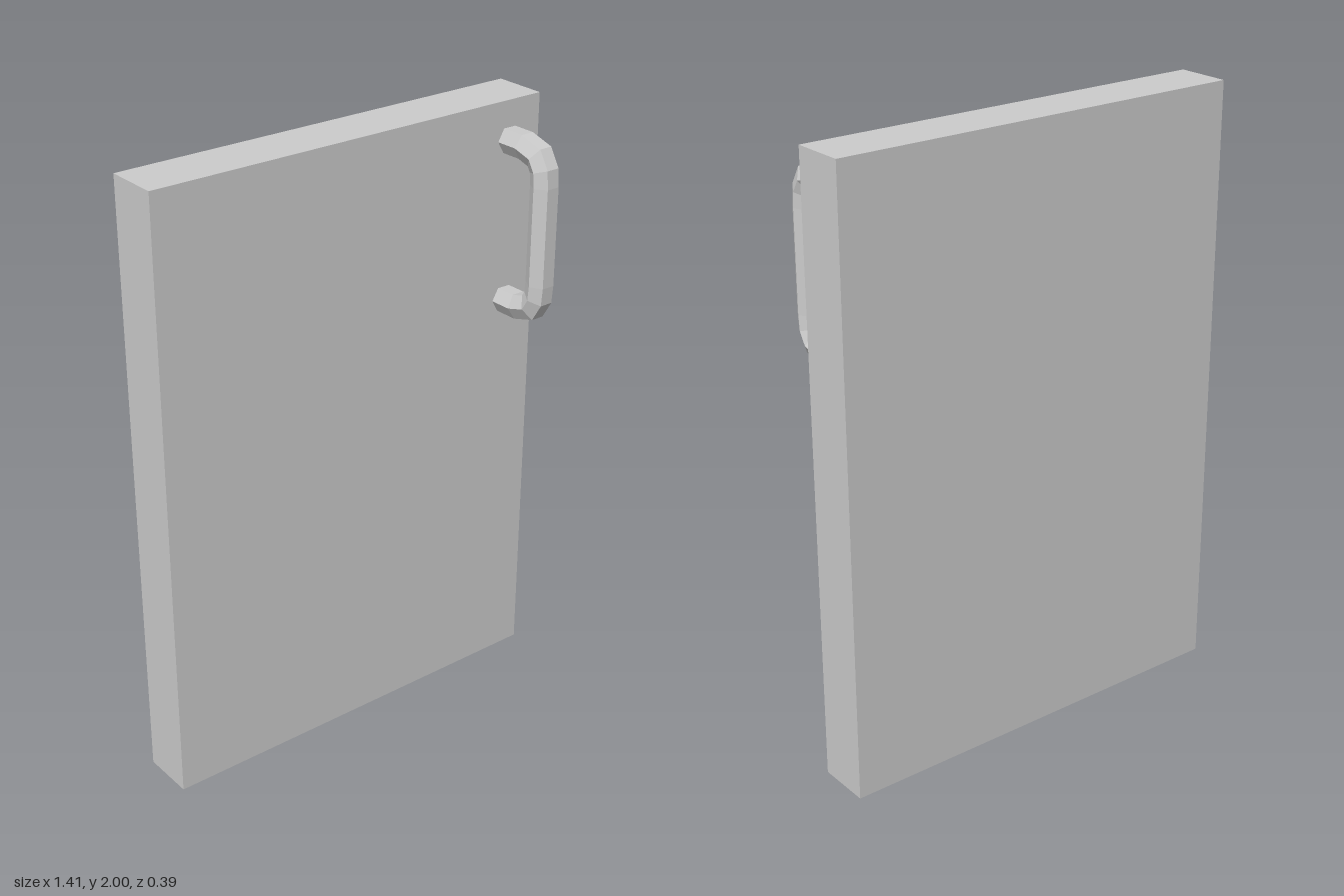
import * as THREE from 'three';

const SIDES = 6;

// Sweeps a hexagonal section along a path of [z, y] points, with mitred joints
function hexBar(path, radius) {
  const pts = path.map(([z, y]) => new THREE.Vector3(0, y, z));
  const xAxis = new THREE.Vector3(1, 0, 0);
  const position = [], index = [];
  pts.forEach((p, i) => {
    const before = p.clone().sub(pts[Math.max(i - 1, 0)]).normalize();
    const after = pts[Math.min(i + 1, pts.length - 1)].clone().sub(p).normalize();
    const tangent = before.clone().add(after).normalize();
    const normal = tangent.clone().cross(xAxis);
    const mitre = 1 / tangent.dot(after.lengthSq() > 0 ? after : before);
    for (let k = 0; k < SIDES; k++) {
      const a = (k / SIDES) * Math.PI * 2;
      const v = p.clone()
        .addScaledVector(xAxis, radius * Math.cos(a))
        .addScaledVector(normal, radius * mitre * Math.sin(a));
      position.push(v.x, v.y, v.z);
      if (i < pts.length - 1) {
        const a0 = i * SIDES + k, b0 = i * SIDES + (k + 1) % SIDES;
        index.push(a0, b0, b0 + SIDES, a0, b0 + SIDES, a0 + SIDES);
      }
    }
  });
  const geometry = new THREE.BufferGeometry();
  geometry.setAttribute('position', new THREE.Float32BufferAttribute(position, 3));
  geometry.setIndex(index);
  const faceted = geometry.toNonIndexed();
  faceted.computeVertexNormals();
  return faceted;
}

export function createModel() {
  const model = new THREE.Group();
  const material = new THREE.MeshStandardMaterial({ color: 0xcccccc, flatShading: true });

  // Door panel, standing very slightly ajar
  const panel = new THREE.Mesh(new THREE.BoxGeometry(1.41, 2, 0.178), material);
  panel.name = 'doorPanel';
  panel.position.set(0, 1, -0.099);
  panel.rotation.y = -0.0085;
  model.add(panel);

  // Pull handle: upper half of the path, mirrored downwards
  const middle = 1.61;
  const half = [[-0.02, 0.264], [0.068, 0.264], [0.13, 0.246], [0.153, 0.208], [0.157, 0.16]];
  const upper = half.map(([z, y]) => [z, middle + y]);
  const lower = half.map(([z, y]) => [z, middle - y]).reverse();
  const handle = new THREE.Mesh(hexBar([...upper, ...lower], 0.045), material);
  handle.name = 'handle';
  handle.position.x = 0.585;
  model.add(handle);

  return model;
}
